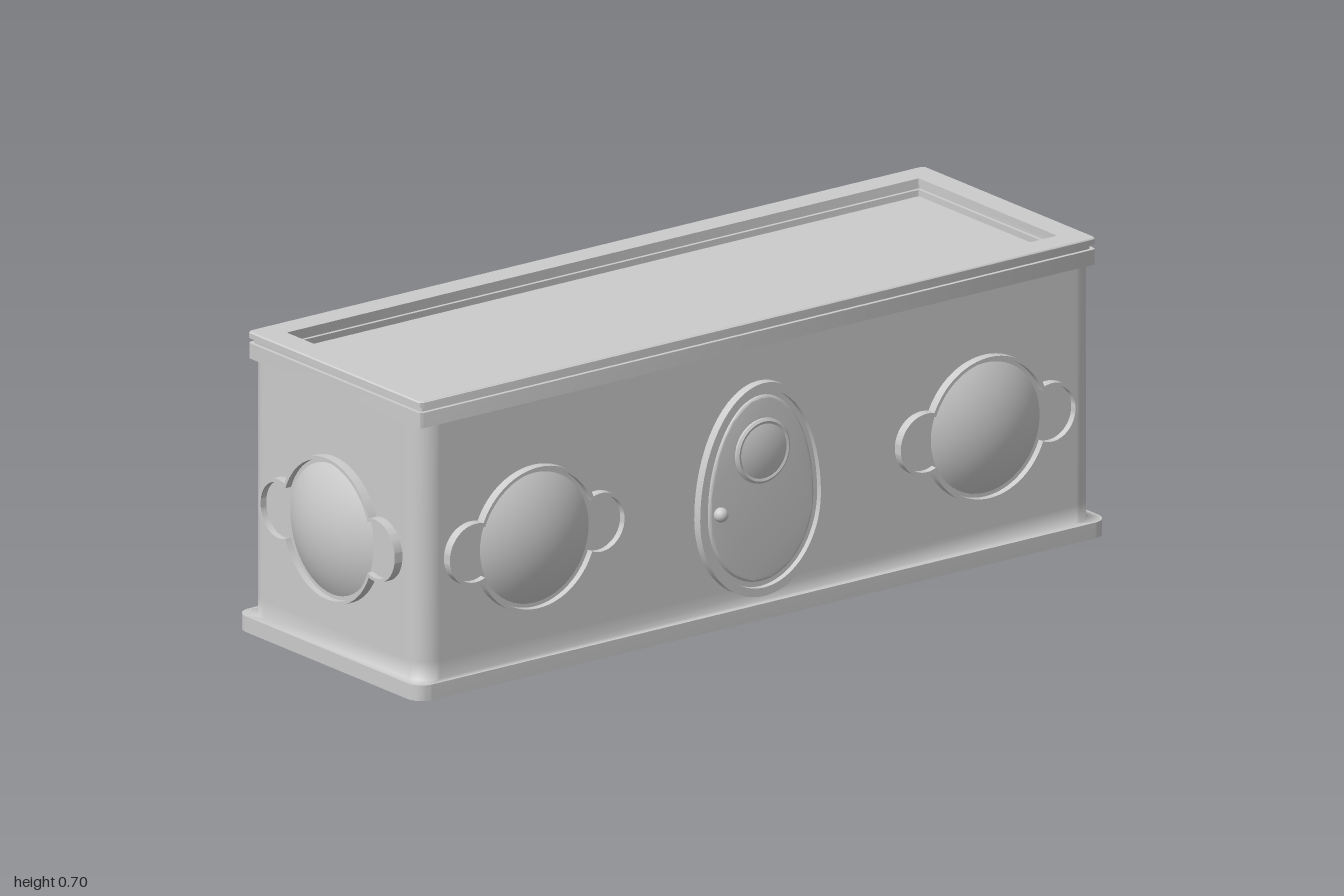
import * as THREE from 'three';
import { toCreasedNormals } from 'three/addons/utils/BufferGeometryUtils.js';

const CX = -0.0135;
const grey = new THREE.MeshStandardMaterial({ color: 0xcccccc, side: THREE.DoubleSide });

function add(parent, name, geometry, x = 0, y = 0, z = 0) {
  const mesh = new THREE.Mesh(geometry, grey);
  mesh.name = name;
  mesh.position.set(x, y, z);
  parent.add(mesh);
  return mesh;
}

// Skin a stack of rounded rectangles, each [halfX, halfZ, cornerRadius, y]
function loft(sections, smooth) {
  const steps = 8, n = 4 * (steps + 1), pos = [], index = [];
  for (const [hx, hz, r, y] of sections) {
    for (let c = 0; c < 4; c++) {
      const sx = c === 0 || c === 3 ? 1 : -1, sz = c < 2 ? -1 : 1;
      for (let k = 0; k <= steps; k++) {
        const a = (c + k / steps) * Math.PI / 2;
        pos.push(sx * (hx - r) + r * Math.cos(a), y, sz * (hz - r) - r * Math.sin(a));
      }
    }
  }
  for (let s = 0; s < sections.length - 1; s++) {
    for (let i = 0; i < n; i++) {
      const a = s * n + i, b = s * n + (i + 1) % n;
      index.push(a, b, b + n, a, b + n, a + n);
    }
  }
  const g = new THREE.BufferGeometry();
  g.setAttribute('position', new THREE.Float32BufferAttribute(pos, 3));
  g.setIndex(index);
  g.computeVertexNormals();
  return smooth ? g : toCreasedNormals(g, 0.6);
}

// Large disc joined to an ear on each side
function earedOutline(inset, Type = THREE.Shape) {
  const R = 0.17 - inset, r = 0.073 - inset, d = 0.177;
  const x = (d * d + R * R - r * r) / (2 * d), y = Math.sqrt(R * R - x * x);
  const t = Math.atan2(y, x), e = Math.atan2(y, x - d), PI = Math.PI;
  const s = new Type();
  s.absarc(d, 0, r, -e, e);
  s.absarc(0, 0, R, t, PI - t);
  s.absarc(-d, 0, r, PI - e, PI + e);
  s.absarc(0, 0, R, PI + t, 2 * PI - t);
  return s;
}

// Egg, widest a little below the middle
function eggOutline(inset, Type = THREE.Shape) {
  const points = [];
  for (let i = 0; i < 64; i++) {
    const a = i / 64 * Math.PI * 2, s = Math.sin(a);
    points.push(new THREE.Vector2((0.18 - inset) * Math.cos(a),
      -0.04 + s * ((s > 0 ? 0.291 : 0.211) - inset)));
  }
  return new Type(points);
}

function extrude(shape, depth, bevel = 0) {
  const g = new THREE.ExtrudeGeometry(shape, {
    depth: depth - bevel, curveSegments: 28, bevelEnabled: bevel > 0,
    bevelThickness: bevel, bevelSize: bevel, bevelOffset: -bevel, bevelSegments: 3,
  });
  return toCreasedNormals(g, 0.6);
}

function rim(outline, width, depth) {
  const s = outline(0);
  s.holes.push(outline(width, THREE.Path));
  return extrude(s, depth);
}

// Shallow spherical cap facing +z
function cap(radius, height) {
  const R = (radius * radius + height * height) / (2 * height);
  const g = new THREE.SphereGeometry(R, 48, 12, 0, Math.PI * 2, 0, Math.asin(radius / R));
  return g.rotateX(Math.PI / 2).translate(0, 0, height - R);
}

function domedBadge() {
  const g = new THREE.Group();
  g.name = 'domedBadge';
  add(g, 'badgeRim', rim(earedOutline, 0.008, 0.022));
  add(g, 'badgeFloor', extrude(earedOutline(0.004), 0.006));
  add(g, 'badgeDome', cap(0.163, 0.048));
  return g;
}

function lockPlate() {
  const g = new THREE.Group();
  g.name = 'lockPlate';
  add(g, 'plateRim', rim(eggOutline, 0.02, 0.022));
  add(g, 'plateFloor', extrude(eggOutline(0.01), 0.008));
  add(g, 'platePanel', extrude(eggOutline(0.032), 0.014, 0.006));
  // Round dial with a raised lip
  const profile = [[0.076, 0], [0.076, 0.019], [0.07, 0.023], [0.064, 0.021], [0.064, 0.021]]
    .map(([x, y]) => new THREE.Vector2(x, y));
  const ring = new THREE.LatheGeometry(profile.slice(0, 4), 40).rotateX(Math.PI / 2);
  add(g, 'dialRing', toCreasedNormals(ring, 0.6), 0, 0.09, 0);
  add(g, 'dialFace', cap(0.066, 0.01), 0, 0.09, 0.02);
  add(g, 'button', new THREE.SphereGeometry(0.017, 20, 14), -0.12, -0.036, 0.02);
  return g;
}

export function createModel() {
  const model = new THREE.Group();
  model.name = 'chest';

  // Hollow, open-bottomed body on a flange
  add(model, 'baseFlange', loft([
    [0.337, 0.973, 0.04, 0], [0.337, 0.973, 0.04, 0.037],
  ]), CX);
  add(model, 'bodyWalls', loft([
    [0.337, 0.973, 0.04, 0.037], [0.316, 0.951, 0.055, 0.037],
    [0.316, 0.951, 0.055, 0.08], [0.316, 0.951, 0.055, 0.637],
  ], true), CX);

  // Square-cornered lip, groove, top frame and the wall of the recess
  add(model, 'topFrame', loft([
    [0.316, 0.951, 0.055, 0.637], [0.317, 0.952, 0.01, 0.637], [0.317, 0.952, 0.01, 0.673],
    [0.308, 0.943, 0.008, 0.673], [0.308, 0.943, 0.008, 0.685],
    [0.318, 0.953, 0.012, 0.685], [0.318, 0.953, 0.012, 0.697], [0.315, 0.95, 0.01, 0.7],
    [0.254, 0.89, 0.002, 0.7], [0.254, 0.89, 0.002, 0.685],
    [0.262, 0.898, 0.002, 0.685], [0.262, 0.898, 0.002, 0.673],
    [0.254, 0.89, 0.002, 0.673], [0.254, 0.89, 0.002, 0.658],
  ]), CX);
  add(model, 'topPanel', new THREE.PlaneGeometry(0.508, 1.78).rotateX(-Math.PI / 2), CX, 0.658, 0);

  // Badges on both ends and twice on the right-hand long side
  const place = (part, x, y, z, turn) => {
    part.position.set(x, y, z);
    part.rotation.y = turn;
    model.add(part);
  };
  const side = CX + 0.316;
  place(domedBadge(), CX, 0.318, 0.951, 0);
  place(domedBadge(), CX, 0.318, -0.951, Math.PI);
  for (const z of [0.635, -0.635]) place(domedBadge(), side, 0.318, z, Math.PI / 2);
  place(lockPlate(), side, 0.306, 0, Math.PI / 2);

  return model;
}
